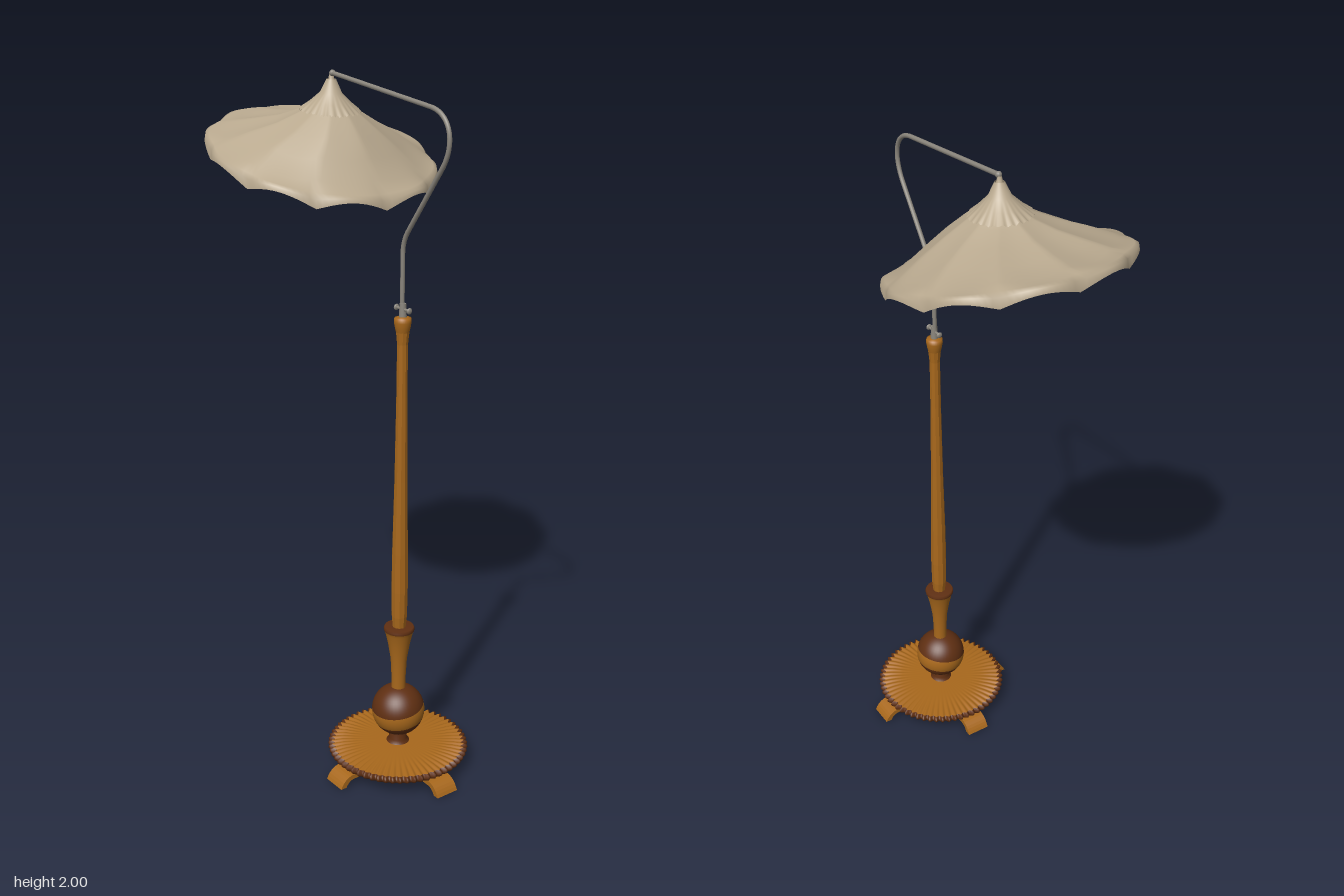
import * as THREE from 'three';

const mat = (name, color, extra = {}) => {
  const m = new THREE.MeshStandardMaterial({ color, ...extra });
  m.name = name;
  return m;
};

// Closed surface through rows * segs points given by point(row, angle); rows run from top to bottom
function loft(rows, segs, point) {
  const pos = [], idx = [];
  for (let j = 0; j < rows; j++) {
    for (let i = 0; i < segs; i++) {
      pos.push(...point(j, (i / segs) * Math.PI * 2));
      if (j === rows - 1) continue;
      const a = j * segs + i, d = j * segs + ((i + 1) % segs);
      idx.push(a, a + segs, d + segs, a, d + segs, d);
    }
  }
  const g = new THREE.BufferGeometry();
  g.setAttribute('position', new THREE.Float32BufferAttribute(pos, 3));
  g.setIndex(idx);
  g.computeVertexNormals();
  return g;
}

const lathe = (pts, segs = 32) =>
  new THREE.LatheGeometry(pts.map(([r, y]) => new THREE.Vector2(r, y)), segs);

export function createModel() {
  const wood = mat('wood', 0xa8681c);
  const darkWood = mat('dark wood', 0x5f2f12);
  const metal = mat('metal', 0x8a857c);
  const fabric = mat('fabric', 0xb9a98f, { side: THREE.DoubleSide });
  const glass = mat('glass', 0xc8bda8);

  const lamp = new THREE.Group();
  lamp.name = 'floorLamp';
  const stand = new THREE.Group();
  stand.name = 'stand';
  stand.position.z = 0.225;
  lamp.add(stand);

  const add = (parent, name, geometry, material, x = 0, y = 0, z = 0) => {
    const m = new THREE.Mesh(geometry, material);
    m.name = name;
    m.position.set(x, y, z);
    parent.add(m);
    return m;
  };

  // Fluted base plate: rows are [radius, height, flute depth]
  const fluted = (rows) => loft(rows.length, 360, (j, a) => {
    const [r, y, d] = rows[j];
    const wave = Math.cos(60 * a);
    return [Math.sin(a) * (r + d * wave), y + d * 0.4 * wave, Math.cos(a) * (r + d * wave)];
  });
  add(stand, 'baseTop', fluted([
    [0.001, 0.066, 0], [0.1, 0.066, 0], [0.13, 0.065, 0.001], [0.165, 0.064, 0.004], [0.193, 0.061, 0.005],
  ]), wood);
  add(stand, 'baseRim', fluted([
    [0.193, 0.061, 0.005], [0.201, 0.057, 0.006], [0.203, 0.05, 0.006], [0.199, 0.043, 0.006], [0.188, 0.036, 0.004],
  ]), darkWood);
  add(stand, 'baseUnderside', fluted([[0.188, 0.036, 0.004], [0.001, 0.034, 0]]), wood);
  add(stand, 'baseHub', new THREE.CylinderGeometry(0.07, 0.07, 0.036, 40), wood, 0, 0.018, 0);

  // Four curved feet
  const footShape = new THREE.Shape();
  footShape.moveTo(0.1, 0.036);
  footShape.lineTo(0.195, 0.034);
  footShape.quadraticCurveTo(0.222, 0.03, 0.235, 0);
  footShape.lineTo(0.216, 0);
  footShape.quadraticCurveTo(0.208, 0.018, 0.19, 0.02);
  footShape.lineTo(0.1, 0.02);
  const footGeo = new THREE.ExtrudeGeometry(footShape, { depth: 0.072, bevelEnabled: false, curveSegments: 6 });
  footGeo.translate(0, 0, -0.036);
  for (let i = 0; i < 4; i++) add(stand, 'foot', footGeo, wood).rotation.y = (i * Math.PI) / 2;

  // Ball with a tilted lighter band
  add(stand, 'neck', lathe([[0.036, 0.064], [0.026, 0.075], [0.026, 0.11]]), darkWood);
  const ball = new THREE.Group();
  ball.name = 'ball';
  ball.position.y = 0.172;
  ball.rotation.z = 0.16;
  stand.add(ball);
  const deg = Math.PI / 180;
  [['ballTop', 0, 80, darkWood], ['ballBand', 80, 32, wood], ['ballBottom', 112, 68, darkWood]].forEach(
    ([name, from, span, m]) =>
      add(ball, name, new THREE.SphereGeometry(0.078, 40, 14, 0, Math.PI * 2, from * deg, span * deg), m));

  // Flared collar and faceted shaft
  add(stand, 'collar', lathe([
    [0.021, 0.235], [0.021, 0.28], [0.024, 0.34], [0.032, 0.39], [0.04, 0.425], [0.044, 0.434],
  ]), wood);
  add(stand, 'collarLip', lathe([[0.044, 0.434], [0.045, 0.44], [0.042, 0.446], [0.001, 0.446]]), darkWood);
  const shaft = lathe([
    [0.019, 0.44], [0.023, 0.48], [0.0245, 0.56], [0.0235, 0.68], [0.019, 0.9],
    [0.016, 1.15], [0.0155, 1.3], [0.019, 1.335],
  ], 10).toNonIndexed();
  shaft.computeVertexNormals();
  add(stand, 'shaft', shaft, wood);
  add(stand, 'shaftCap', lathe([
    [0.017, 1.33], [0.021, 1.345], [0.024, 1.362], [0.023, 1.374], [0.012, 1.377], [0.001, 1.377],
  ]), wood);

  // Metal fitting with thumb screw
  add(stand, 'fitting', new THREE.CylinderGeometry(0.009, 0.011, 0.04, 16), metal, 0, 1.394, 0);
  add(stand, 'screw', new THREE.CylinderGeometry(0.004, 0.004, 0.06, 10), metal, 0, 1.398, 0).rotation.x = Math.PI / 2;
  for (const s of [-1, 1]) {
    add(stand, 'screwKnob', new THREE.SphereGeometry(0.009, 12, 8), metal, 0, 1.398, s * 0.028).scale.z = 0.5;
  }

  // Bent arm: straight runs joined by rounded corners
  const V = (z, y) => new THREE.Vector3(0, y, z);
  const arm = new THREE.CurvePath();
  arm.add(new THREE.LineCurve3(V(0.222, 1.39), V(0.222, 1.55)));
  arm.add(new THREE.QuadraticBezierCurve3(V(0.222, 1.55), V(0.222, 1.585), V(0.245, 1.615)));
  arm.add(new THREE.LineCurve3(V(0.245, 1.615), V(0.378, 1.795)));
  arm.add(new THREE.CubicBezierCurve3(V(0.378, 1.795), V(0.425, 1.86), V(0.41, 1.932), V(0.33, 1.943)));
  arm.add(new THREE.LineCurve3(V(0.33, 1.943), V(-0.095, 1.991)));
  add(lamp, 'arm', new THREE.TubeGeometry(arm, 120, 0.0065, 10), metal);
  add(lamp, 'armEnd', new THREE.SphereGeometry(0.009, 14, 10), metal, 0, 1.991, -0.097);
  add(lamp, 'shadeFinial', lathe([[0.016, 1.945], [0.015, 1.965], [0.008, 1.975], [0.006, 1.99]], 16), fabric, 0, 0, -0.102);

  // Shade rings: front z, front y, back z, back y, half width, sag, bulge, edge arch
  const rings = [
    [-0.089, 1.968, -0.115, 1.97, 0.013, 0, 0, 0],
    [-0.073, 1.93, -0.135, 1.935, 0.03, 0, 0, 0],
    [-0.048, 1.903, -0.165, 1.912, 0.057, 0.001, 0, 0],
    [-0.015, 1.877, -0.2, 1.894, 0.09, 0.003, 0, 0],
    [0.028, 1.832, -0.255, 1.878, 0.15, 0.006, 0, 0],
    [0.065, 1.782, -0.325, 1.87, 0.22, 0.009, 0.003, 0],
    [0.105, 1.727, -0.39, 1.865, 0.28, 0.008, 0.006, 0],
    [0.137, 1.694, -0.432, 1.866, 0.312, 0.001, 0.009, 0.004],
    [0.149, 1.678, -0.446, 1.855, 0.32, 0, 0.01, 0.012],
    [0.152, 1.653, -0.45, 1.826, 0.322, 0, 0.01, 0.026],
  ];
  const ringPoint = ([zf, yf, zb, yb, w, sag, bulge, arch], a) => {
    const c = Math.cos(a), s = Math.abs(Math.sin(5 * a));
    const half = (zf - zb) / 2;
    return [
      Math.sin(a) * (w + bulge * s),
      (yf + yb) / 2 + ((yf - yb) / 2) * c + (arch - sag) * s,
      (zf + zb) / 2 + c * (half + bulge * s),
    ];
  };
  add(lamp, 'shade', loft(rings.length, 120, (j, a) => ringPoint(rings[j], a)), fabric);

  // Small ruffled cap over the crown of the shade
  add(lamp, 'shadeCap', loft(4, 120, (j, a) => {
    const [x, y, z] = ringPoint(rings[j], a);
    const ruffle = j === 3 ? 0.003 * Math.cos(24 * a) : 0;
    const k = j === 3 ? 0.93 : 1;
    return [x * k, y + 0.006 + ruffle, -0.105 + (z + 0.105) * k];
  }), fabric);

  // Bulb and socket under the crown
  const light = new THREE.Group();
  light.name = 'light';
  light.position.set(0, 1.84, -0.135);
  light.rotation.x = 0.3;
  lamp.add(light);
  add(light, 'bulb', new THREE.SphereGeometry(0.046, 28, 18), glass);
  add(light, 'socket', new THREE.CylinderGeometry(0.014, 0.02, 0.07, 16), metal, 0, 0.07, 0);

  return lamp;
}
